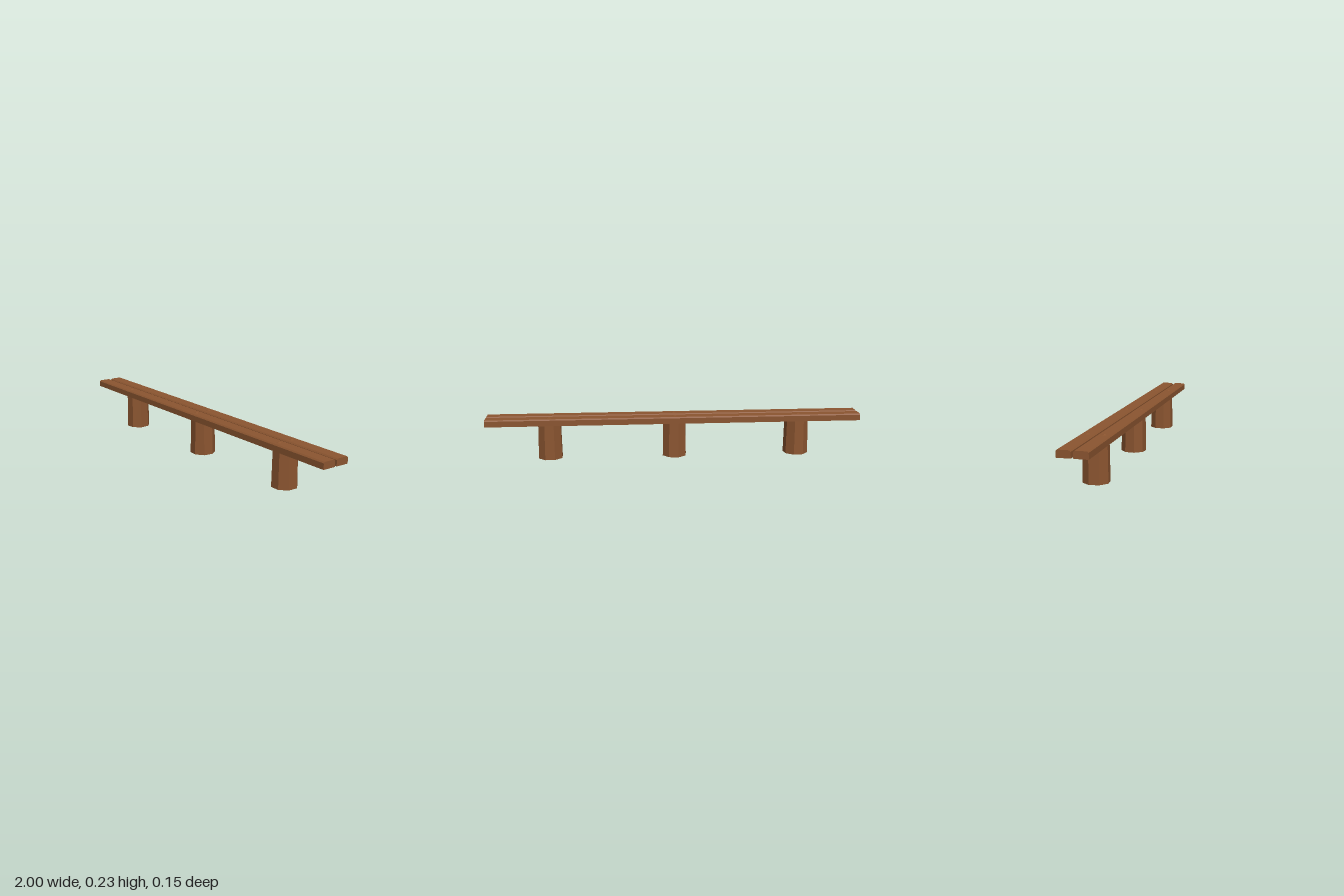
import * as THREE from 'three';

export function createModel() {
  const model = new THREE.Group();
  model.name = 'bench';
  const wood = new THREE.MeshStandardMaterial({ color: 0x8b5530, flatShading: true });
  wood.name = 'brown wood';

  const add = (geometry, name, x, y, z, turn = 0) => {
    const mesh = new THREE.Mesh(geometry, wood);
    mesh.name = name;
    mesh.position.set(x, y, z);
    mesh.rotation.y = turn;
    model.add(mesh);
  };

  // Plank: section with chamfered upper edges, run along x
  const half = 0.0345, bottom = 0.189, top = 0.225, cut = 0.006;
  const section = new THREE.Shape([
    [-half, bottom], [half, bottom], [half, top - cut],
    [half - cut, top], [cut - half, top], [-half, top - cut],
  ].map(([x, y]) => new THREE.Vector2(x, y)));
  const plank = new THREE.ExtrudeGeometry(section, { depth: 2, bevelEnabled: false });
  plank.translate(0, 0, -1).rotateY(Math.PI / 2);

  // Tapered octagonal post and shallow pointed peg head
  const post = new THREE.CylinderGeometry(0.0635, 0.067, 0.189, 8).rotateY(Math.PI / 8);
  const peg = new THREE.ConeGeometry(0.016, 0.006, 6);

  for (const side of [1, -1]) add(plank, side > 0 ? 'frontPlank' : 'backPlank', 0, 0, side * 0.04);

  [[-0.667, 0.1], [0, -0.12], [0.667, 0]].forEach(([x, turn]) => {
    add(post, 'post', x, 0.0945, 0, turn);
    for (const side of [1, -1]) add(peg, 'pegHead', x, 0.227, side * 0.04, turn);
  });

  return model;
}
